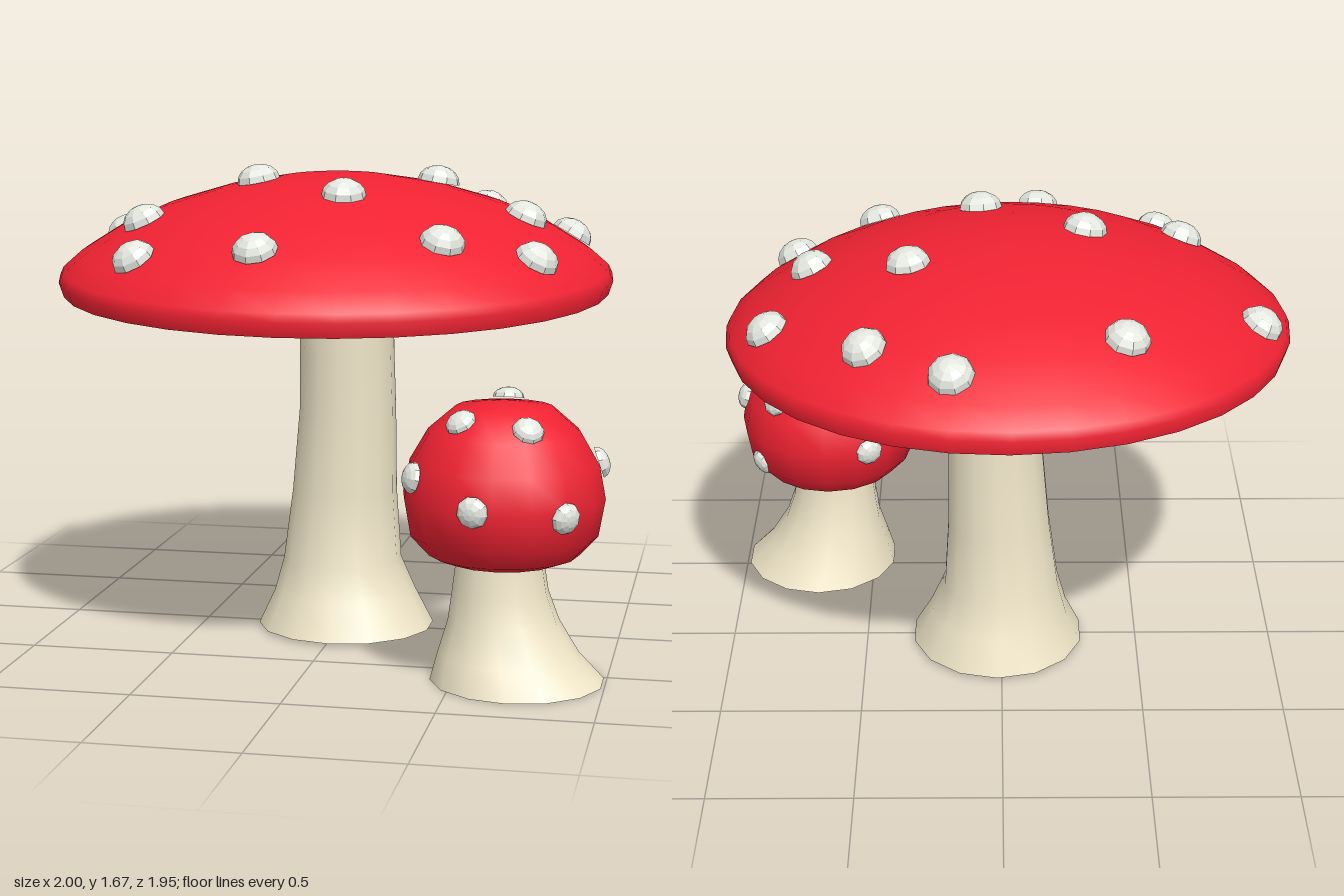
import * as THREE from 'three';
import { toCreasedNormals } from 'three/addons/utils/BufferGeometryUtils.js';

const RED = new THREE.MeshStandardMaterial({ color: 0xf02232 });
const CREAM = new THREE.MeshStandardMaterial({ color: 0xefe5c8 });
const WHITE = new THREE.MeshStandardMaterial({ color: 0xe2e6de, flatShading: true });

const lathe = (profile, sides) =>
  new THREE.LatheGeometry(profile.map(([r, y]) => new THREE.Vector2(r, y)), sides);

function addMesh(parent, name, geometry, material) {
  const mesh = new THREE.Mesh(geometry, material);
  mesh.name = name;
  parent.add(mesh);
  return mesh;
}

// Stem from rings [radius, y, centre x, centre z], so it can lean
function stem(rings, sides) {
  const first = rings[0];
  const all = [[0, first[1], first[2], first[3]], ...rings];
  const geo = lathe(all, sides);
  const pos = geo.attributes.position;
  for (let i = 0; i < pos.count; i++) {
    const [, , cx, cz] = all[i % all.length];
    pos.setXYZ(i, pos.getX(i) + cx, pos.getY(i), pos.getZ(i) + cz);
  }
  return toCreasedNormals(geo, 1);
}

// Faceted half-dome wart standing on a surface along its normal
const wartGeo = new THREE.SphereGeometry(1, 9, 4, 0, Math.PI * 2, 0, Math.PI / 2);
function wart(parent, point, normal, radius, height) {
  const mesh = addMesh(parent, 'spot', wartGeo, WHITE);
  mesh.position.copy(point);
  mesh.quaternion.setFromUnitVectors(new THREE.Vector3(0, 1, 0), normal);
  mesh.scale.set(radius, height, radius);
}

function largeMushroom() {
  const group = new THREE.Group();
  group.name = 'largeMushroom';

  addMesh(group, 'largeStem', stem([
    [0.315, 0.01, 0.015, 0], [0.255, 0.13, 0.01, -0.01], [0.212, 0.25, 0, -0.01],
    [0.187, 0.5, 0.01, 0], [0.172, 0.8, 0.022, 0.005],
    [0.168, 1.0, 0.02, 0.01], [0.168, 1.32, 0.015, 0.015],
  ], 14), CREAM);

  // Wide cap with a shallow hollow underneath, tipped a little forward
  const cap = new THREE.Group();
  cap.name = 'largeCap';
  cap.position.set(-0.022, 1.23, 0);
  cap.rotation.set(0.06, 0, -0.008);
  group.add(cap);
  const dome = [
    [0.978, 0.05], [0.965, 0.078], [0.9, 0.135], [0.76, 0.222], [0.6, 0.292],
    [0.4, 0.353], [0.2, 0.39], [0, 0.402],
  ];
  const under = [[0, 0.06], [0.35, 0.055], [0.7, 0.035], [0.9, 0.005], [0.962, 0]];
  addMesh(cap, 'largeCapShell', toCreasedNormals(lathe([...under, ...dome], 32), 1), RED);

  const spots = [
    [0.17, -0.77], [-0.39, -0.6], [0.45, -0.6], [-0.86, -0.25], [0.79, -0.3],
    [0.32, -0.2], [-0.28, 0.06], [0.66, 0.02], [-0.63, 0.3], [0.08, 0.33],
    [0.74, 0.39], [0.45, 0.55], [-0.57, 0.63], [-0.13, 0.74],
  ];
  for (const [wx, wz] of spots) {
    const x = wx + 0.012, z = wz - 0.015;
    const r = Math.hypot(x, z);
    // Find the dome segment under the spot for its height and slope
    const k = dome.findIndex(([radius]) => radius <= r);
    const [r0, y0] = dome[k - 1], [r1, y1] = dome[k];
    const slope = (y0 - y1) / (r0 - r1);
    const normal = new THREE.Vector3(-slope * x / r, 1, -slope * z / r).normalize();
    wart(cap, new THREE.Vector3(x, y1 + slope * (r - r1), z), normal, 0.077, 0.06);
  }
  return group;
}

function smallMushroom() {
  const group = new THREE.Group();
  group.name = 'smallMushroom';

  addMesh(group, 'smallStem', stem([
    [0.29, 0, 0.706, 0.57], [0.235, 0.09, 0.675, 0.565], [0.185, 0.2, 0.658, 0.56],
    [0.16, 0.3, 0.647, 0.565], [0.146, 0.4, 0.645, 0.565], [0.14, 0.48, 0.645, 0.565],
  ], 14), CREAM);

  // Round button cap, flattened above and below
  const centre = new THREE.Vector3(0.655, 0.64, 0.57);
  const cap = new THREE.Group();
  cap.name = 'smallCap';
  cap.position.copy(centre);
  group.add(cap);
  addMesh(cap, 'smallCapShell', toCreasedNormals(lathe([
    [0, -0.235], [0.19, -0.235], [0.25, -0.212], [0.312, -0.145], [0.334, -0.02],
    [0.313, 0.09], [0.252, 0.195], [0.16, 0.275], [0, 0.297],
  ], 16), 1), RED);

  // Spot directions from the cap centre
  const spots = [
    [-0.06, -0.015, 0.33], [0.225, -0.04, 0.23], [0.315, 0.095, -0.04],
    [0.1, 0.23, 0.19], [-0.125, 0.25, 0.16], [0.005, 0.31, -0.07],
    [-0.28, 0.06, 0.17], [0.19, 0.16, -0.225], [0.25, -0.125, -0.18],
    [-0.165, -0.02, -0.29],
  ];
  const size = new THREE.Vector3(0.325, 0.3, 0.325);
  for (const s of spots) {
    const unit = new THREE.Vector3(...s).divide(size).normalize();
    const normal = unit.clone().divide(size).normalize();
    wart(cap, unit.multiply(size), normal, 0.053, 0.036);
  }
  return group;
}

export function createModel() {
  const model = new THREE.Group();
  model.name = 'mushrooms';
  model.add(largeMushroom(), smallMushroom());
  return model;
}
